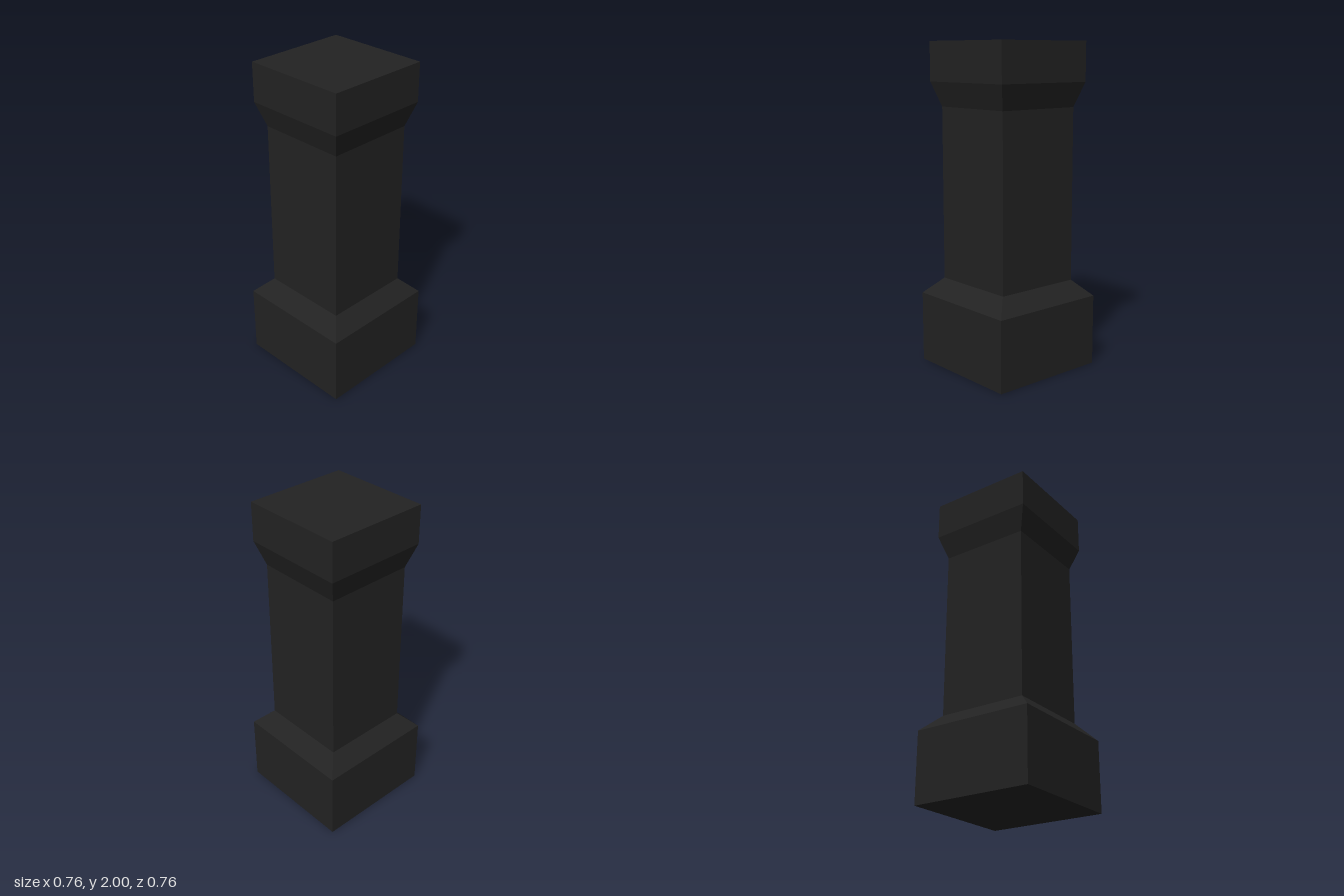
import * as THREE from 'three';

const charcoal = new THREE.MeshStandardMaterial({ color: 0x222222 });
charcoal.name = 'charcoal';

// Square section swept up a profile of [half width, height] pairs, with flat faces
function squareTurned(name, profile) {
  const points = profile.map(([half, y]) => new THREE.Vector2(half * Math.SQRT2, y));
  const geometry = new THREE.LatheGeometry(points, 4, Math.PI / 4).toNonIndexed();
  geometry.computeVertexNormals();
  const mesh = new THREE.Mesh(geometry, charcoal);
  mesh.name = name;
  return mesh;
}

export function createModel() {
  const post = new THREE.Group();
  post.name = 'squarePost';
  post.add(
    // Block base with a sloped shoulder, closed underneath
    squareTurned('base', [[0, 0], [0.38, 0], [0.38, 0.44], [0.28, 0.54]]),
    // Plain straight column
    squareTurned('shaft', [[0.28, 0.54], [0.28, 1.61]]),
    // Flared neck and block cap, closed on top
    squareTurned('cap', [[0.28, 1.61], [0.33, 1.76], [0.33, 2], [0, 2]]),
  );
  return post;
}
